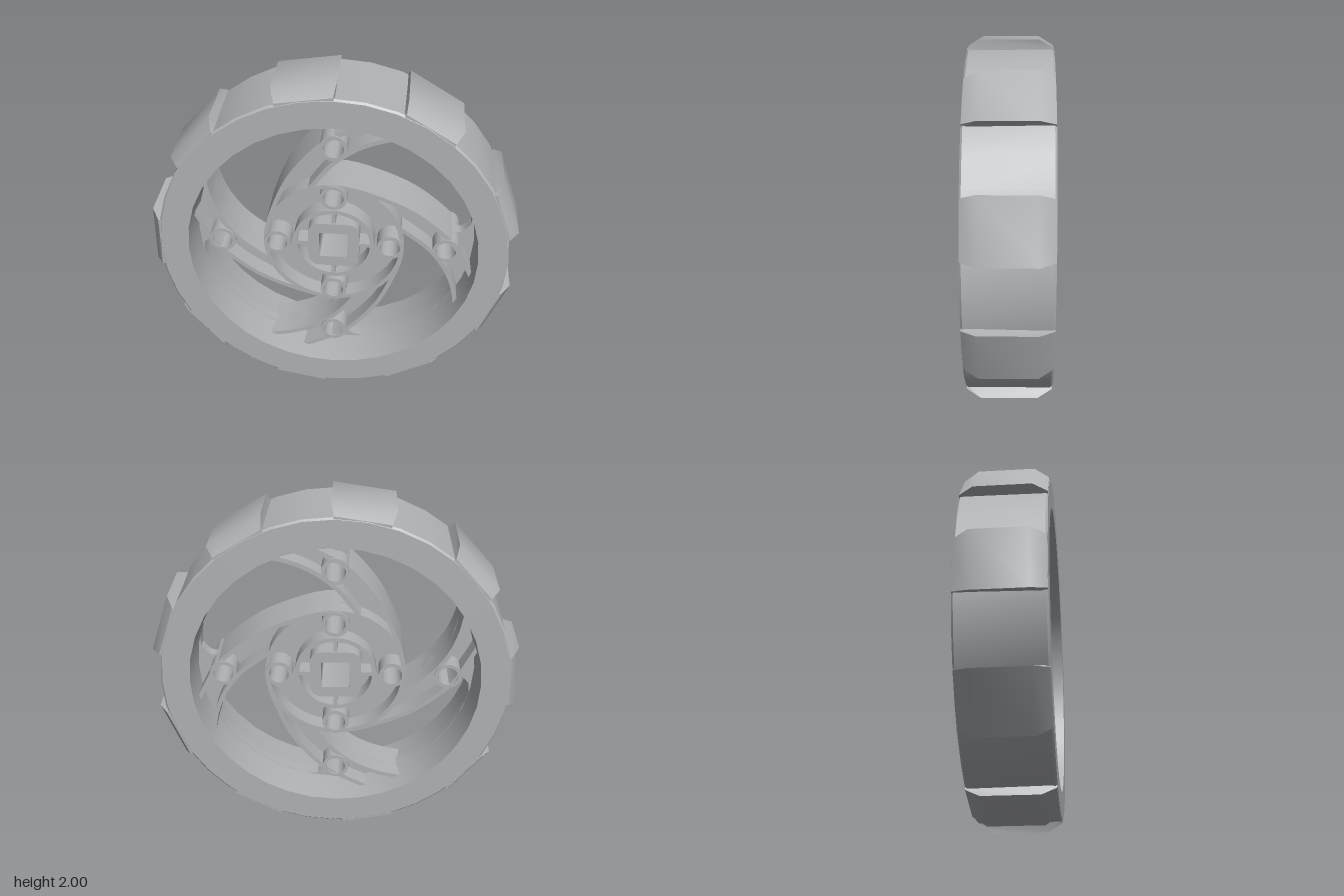
import * as THREE from 'three';
import { toCreasedNormals } from 'three/addons/utils/BufferGeometryUtils.js';

const grey = new THREE.MeshStandardMaterial({ color: 0xb0b2b5 });
grey.name = 'grey';

const RIB = 0.26, BOSS = 0.28, WEB = 0.06;
const V = (x, y) => new THREE.Vector2(x, y);

function add(parent, name, geometry) {
  const mesh = new THREE.Mesh(toCreasedNormals(geometry, 0.6), grey);
  mesh.name = name;
  parent.add(mesh);
  return mesh;
}

// Extrusion centred on z = 0
function slab(shape, depth) {
  return new THREE.ExtrudeGeometry(shape, { depth, bevelEnabled: false, curveSegments: 20 })
    .translate(0, 0, -depth / 2);
}

function circlePath(x, y, r, Type = THREE.Path) {
  return new Type().absarc(x, y, r, 0, Math.PI * 2, false);
}

function tube(x, y, outer, inner, depth) {
  const shape = circlePath(x, y, outer, THREE.Shape);
  shape.holes.push(circlePath(x, y, inner));
  return slab(shape, depth);
}

function squarePoints(h, r) {
  const pts = [];
  [[1, 1], [-1, 1], [-1, -1], [1, -1]].forEach(([sx, sy], q) => {
    for (let i = 0; i <= 4; i++) {
      const a = (q + i / 4) * Math.PI / 2;
      pts.push(V(sx * (h - r) + r * Math.cos(a), sy * (h - r) + r * Math.sin(a)));
    }
  });
  return pts;
}

// Curved wall of constant thickness following a smooth path
function wall(points, width) {
  const curve = new THREE.SplineCurve(points.map(p => V(...p)));
  const a = [], b = [];
  for (let i = 0; i <= 24; i++) {
    const p = curve.getPoint(i / 24), t = curve.getTangent(i / 24);
    const n = V(-t.y, t.x).multiplyScalar(width / 2);
    a.push(p.clone().sub(n));
    b.unshift(p.clone().add(n));
  }
  return slab(new THREE.Shape([...a, ...b]), RIB);
}

// One window between two neighbouring spokes
function openingPoints() {
  const convex = new THREE.SplineCurve([
    [-0.383, -0.1], [-0.385, 0], [-0.36, 0.15], [-0.25, 0.42], [-0.085, 0.62],
    [-0.055, 0.69], [-0.11, 0.745]].map(p => V(...p))).getPoints(30);
  const arc = [];
  for (let d = 102; d <= 150; d += 6) {
    const a = d * Math.PI / 180;
    arc.push(V(0.765 * Math.cos(a), 0.765 * Math.sin(a)));
  }
  const concave = new THREE.SplineCurve([
    [-0.68, 0.34], [-0.6, 0.12], [-0.5, 0], [-0.39, -0.105]].map(p => V(...p))).getPoints(14);
  return [...convex, ...arc, ...concave];
}

export function createModel() {
  const wheel = new THREE.Group();
  wheel.name = 'wheel';
  wheel.position.y = 1;
  const origin = V(0, 0);

  // Outer rim
  const profile = [[0.785, -0.228], [0.935, -0.228], [0.945, -0.218], [0.945, 0.218],
    [0.935, 0.228], [0.785, 0.228], [0.768, 0.03], [0.768, -0.03], [0.785, -0.228]];
  add(wheel, 'rim', new THREE.LatheGeometry(profile.map(p => V(...p)), 36).rotateX(Math.PI / 2));

  // Nine flat treads with chamfered shoulders and undercut ends
  const section = [[-0.226, 0.9], [0.226, 0.9], [0.226, 0.94], [0.15, 0.986],
    [-0.15, 0.986], [-0.226, 0.94]];
  const treadGeo = slab(new THREE.Shape(section.map(p => V(...p))), 0.334).rotateY(Math.PI / 2);
  const pos = treadGeo.attributes.position;
  for (let i = 0; i < pos.count; i++) {
    if (pos.getY(i) < 0.96) pos.setX(i, pos.getX(i) * 0.88);
  }
  for (let i = 0; i < 9; i++) {
    add(wheel, 'tread', treadGeo).rotation.z = (8.5 + i * 40) * Math.PI / 180;
  }

  // Thin central web, pierced by windows, bolt holes and the square bore
  const web = circlePath(0, 0, 0.79, THREE.Shape);
  const opening = openingPoints();
  for (let i = 0; i < 4; i++) {
    const a = i * Math.PI / 2;
    web.holes.push(new THREE.Path(opening.map(p => p.clone().rotateAround(origin, a))));
    for (const r of [0.31, 0.615]) {
      web.holes.push(circlePath(r * Math.cos(a), r * Math.sin(a), 0.054));
    }
  }
  web.holes.push(new THREE.Path(squarePoints(0.078, 0.008)));
  add(wheel, 'web', slab(web, WEB));

  // Hub walls and square axle socket
  add(wheel, 'hubWall', tube(0, 0, 0.387, 0.363, RIB));
  add(wheel, 'innerHubWall', tube(0, 0, 0.224, 0.2, RIB));
  const socket = new THREE.Shape(squarePoints(0.14, 0.06));
  socket.holes.push(new THREE.Path(squarePoints(0.078, 0.008)));
  add(wheel, 'axleSocket', slab(socket, BOSS));

  // Four spiral spokes with bolt bosses
  for (let i = 0; i < 4; i++) {
    const spoke = new THREE.Group();
    spoke.name = 'spoke';
    spoke.rotation.z = i * Math.PI / 2;
    add(spoke, 'convexWall', wall([[-0.375, 0], [-0.35, 0.15], [-0.24, 0.415],
      [-0.07, 0.625], [0.05, 0.7], [0.185, 0.768]], 0.024));
    add(spoke, 'concaveWall', wall([[-0.125, 0.36], [-0.01, 0.51], [0.12, 0.61],
      [0.25, 0.665], [0.38, 0.692]], 0.024));
    add(spoke, 'outerBoss', tube(0, 0.615, 0.074, 0.054, BOSS));
    add(spoke, 'innerBoss', tube(0, 0.31, 0.074, 0.054, BOSS));
    add(spoke, 'hubRib', new THREE.BoxGeometry(0.022, 0.075, RIB).translate(0, 0.17, 0));
    wheel.add(spoke);
  }
  return wheel;
}
